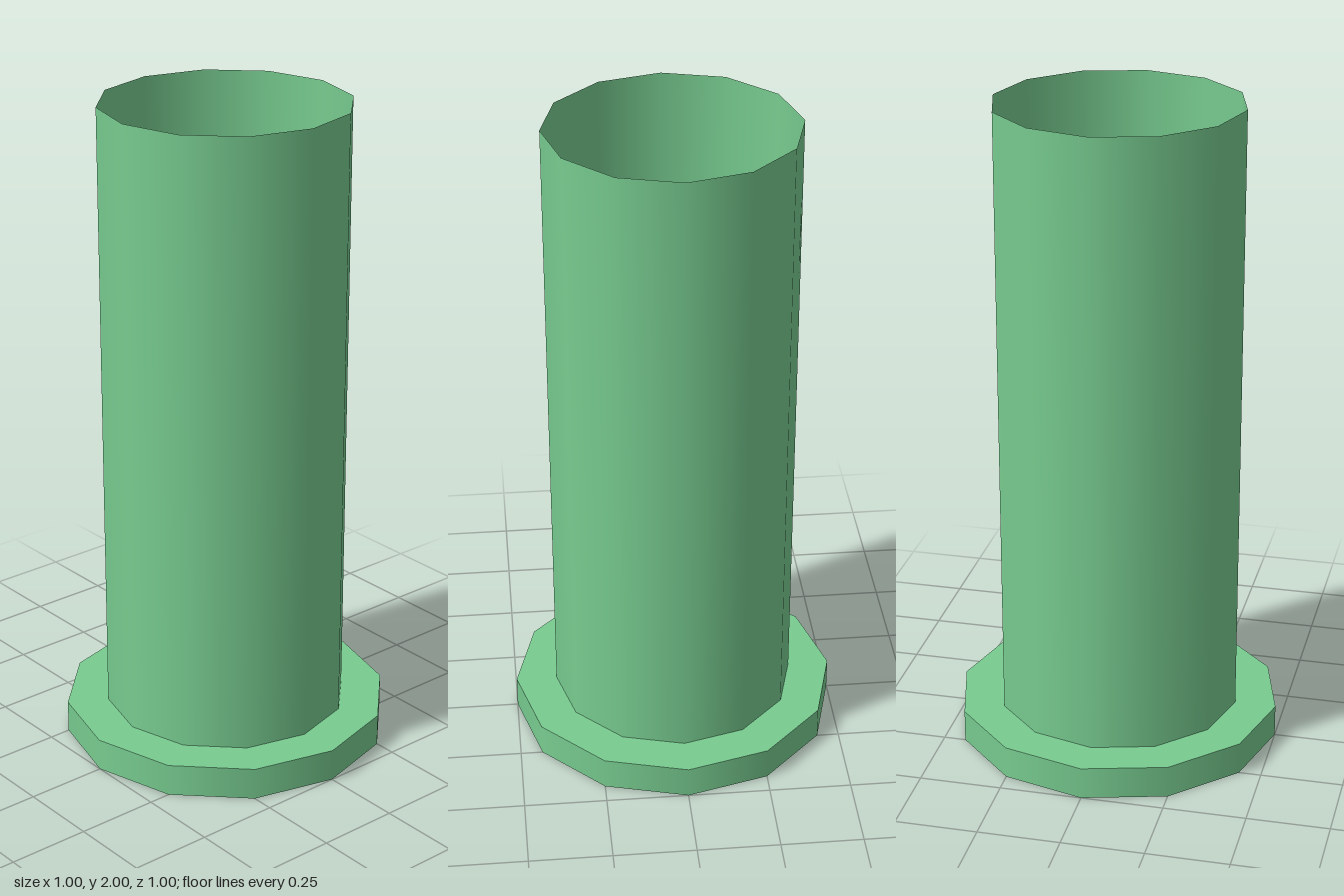
import * as THREE from 'three';

export function createModel() {
  const group = new THREE.Group();
  const sides = 12;
  const baseHeight = 0.1;
  const tubeHeight = 1.9;

  const green = new THREE.MeshStandardMaterial({ color: 0x78cc90 });
  const thinGreen = green.clone();
  thinGreen.side = THREE.DoubleSide;

  // Flat solid disc the tube stands on
  const base = new THREE.Mesh(new THREE.CylinderGeometry(0.5, 0.5, baseHeight, sides), green);
  base.name = 'base';
  base.position.y = baseHeight / 2;
  group.add(base);

  // Thin-walled tube, open at the top
  const tube = new THREE.Mesh(
    new THREE.CylinderGeometry(0.373, 0.373, tubeHeight, sides, 1, true), thinGreen);
  tube.name = 'tube';
  tube.position.y = baseHeight + tubeHeight / 2;
  group.add(tube);

  return group;
}
